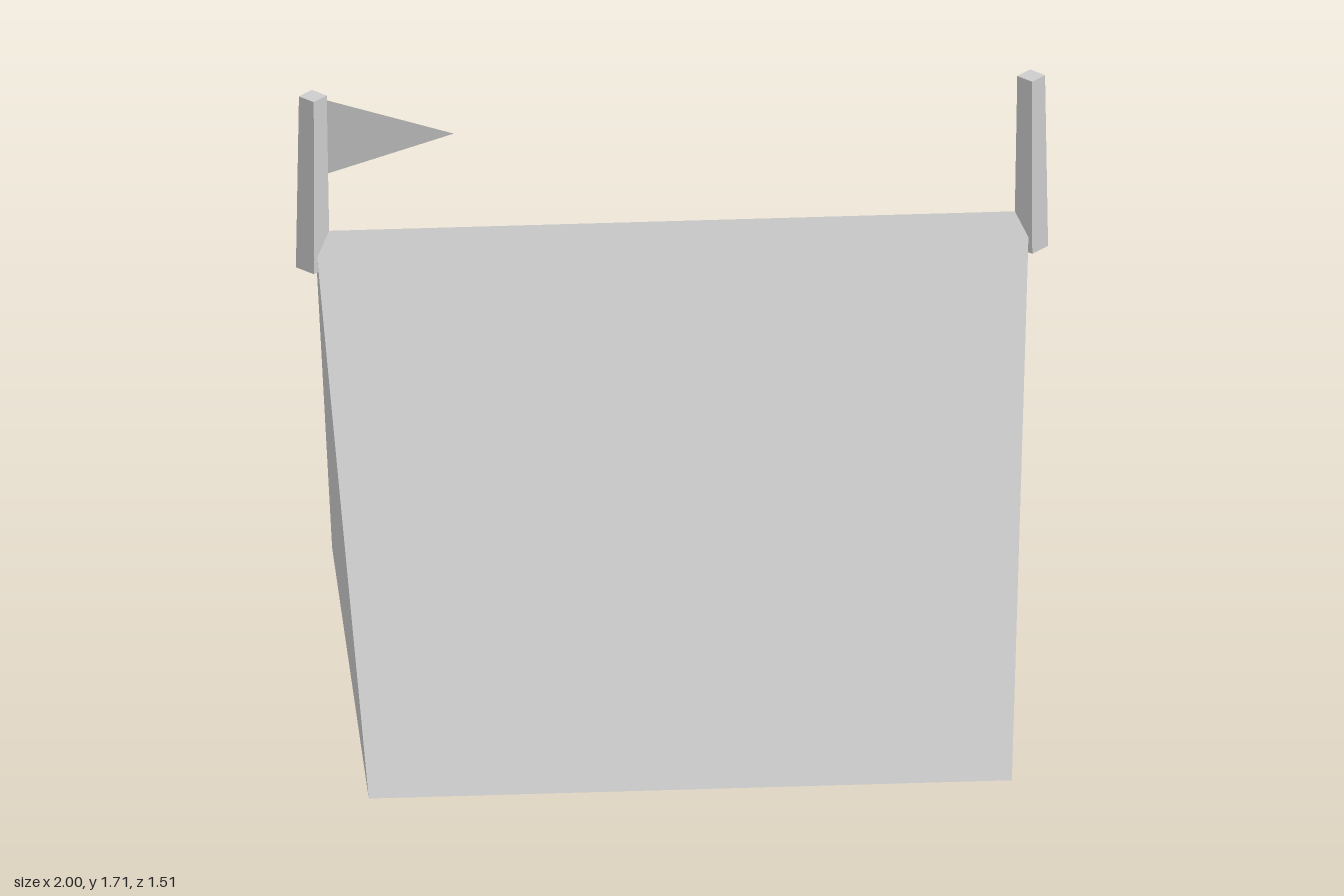
import * as THREE from 'three';

const canvas = new THREE.MeshStandardMaterial({ color: 0xcccccc, side: THREE.DoubleSide, flatShading: true });
canvas.name = 'canvasGrey';

// Flat-faced sheet from convex polygons, corners counter-clockwise seen from outside
function sheet(name, polygons) {
  const points = [];
  for (const p of polygons) {
    for (let i = 1; i < p.length - 1; i++) points.push(...p[0], ...p[i], ...p[i + 1]);
  }
  const geometry = new THREE.BufferGeometry();
  geometry.setAttribute('position', new THREE.Float32BufferAttribute(points, 3));
  geometry.computeVertexNormals();
  const mesh = new THREE.Mesh(geometry, canvas);
  mesh.name = name;
  return mesh;
}

export function createModel() {
  const model = new THREE.Group();
  model.name = 'tent';

  const baseX = 0.855, baseZ = 0.755, ridgeX = 0.95, ridgeY = 1.31;
  const ridgeL = [ridgeX, ridgeY, 0], ridgeR = [-ridgeX, ridgeY, 0];
  const frontL = [baseX, 0, baseZ], frontR = [-baseX, 0, baseZ];
  const backL = [baseX, 0, -baseZ], backR = [-baseX, 0, -baseZ];

  // Canvas: two slopes and two outward-leaning ends, open underneath
  model.add(sheet('frontSlope', [[frontR, frontL, ridgeL, ridgeR]]));
  model.add(sheet('backSlope', [[backL, backR, ridgeR, ridgeL]]));
  model.add(sheet('leftEnd', [[frontL, backL, ridgeL]]));
  model.add(sheet('rightEnd', [[backR, frontR, ridgeR]]));

  // Upright door flap, its foot just proud of the leaning end
  const doorX = 0.864;
  model.add(sheet('doorFlap', [[[doorX, 0, 0.3], [doorX, 0, -0.3], [doorX, 0.9, 0]]]));

  // Tapered four-sided pole tops at both ridge ends
  for (const side of [1, -1]) {
    const pole = new THREE.Mesh(new THREE.CylinderGeometry(0.037, 0.045, 0.505, 4), canvas);
    pole.name = side > 0 ? 'leftPole' : 'rightPole';
    pole.position.set(side * 0.955, 1.4575, 0);
    model.add(pole);
  }

  // Pennant on the right pole
  model.add(sheet('flag', [[[-0.93, 1.475, 0], [-0.58, 1.587, 0], [-0.93, 1.7, 0]]]));

  return model;
}
